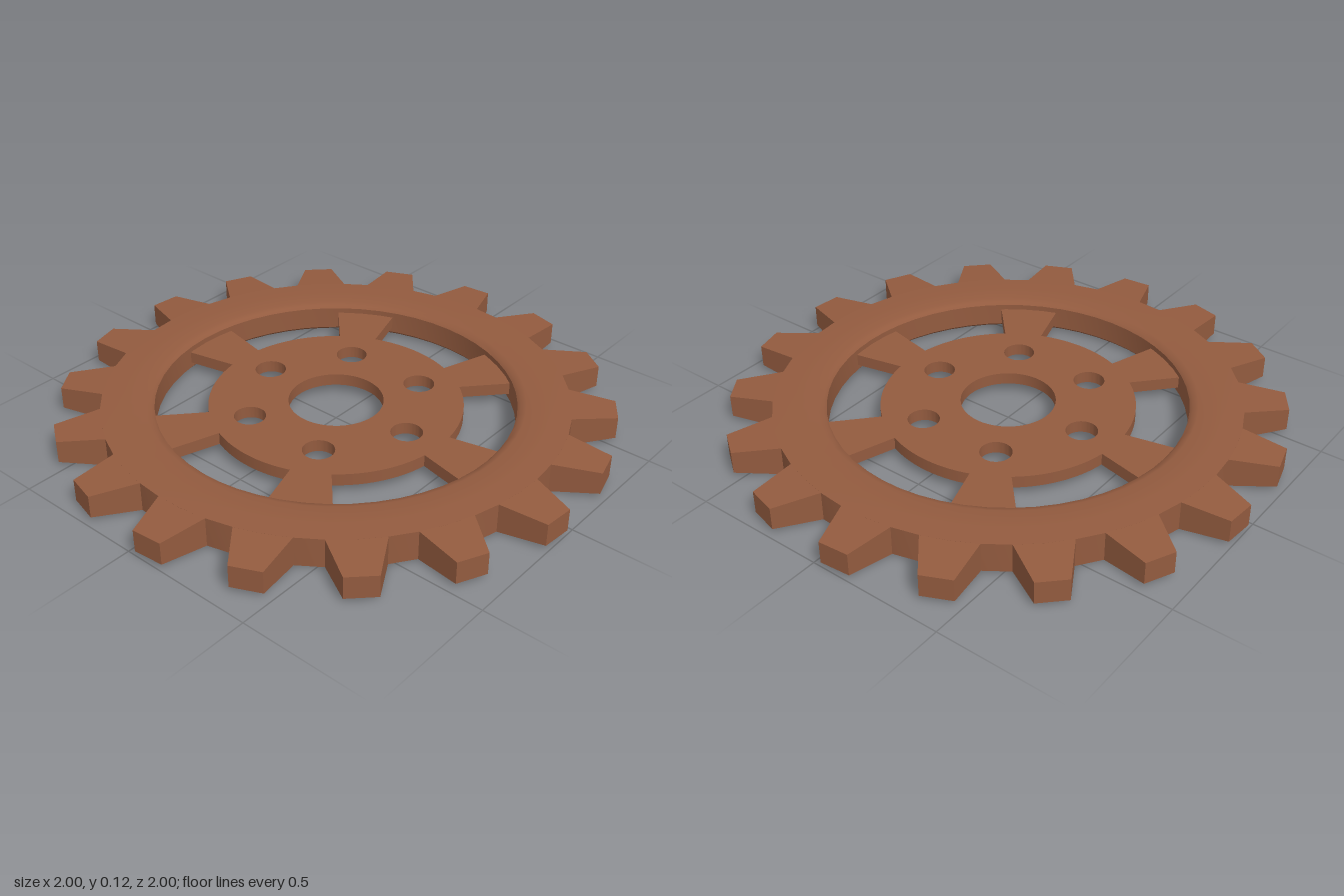
import * as THREE from 'three';
import { toCreasedNormals } from 'three/addons/utils/BufferGeometryUtils.js';

const TEETH = 18;
const SPOKES = 6;
const rad = THREE.MathUtils.degToRad;

// Closed cross-section revolved into the rim; three segments per tooth pitch
function rimGeometry() {
  const profile = [
    [0.84, 0.003], [0.84, 0.112], [0.76, 0.115], [0.68, 0.115], [0.66, 0.11],
    [0.65, 0.1], [0.65, 0.015], [0.66, 0.005], [0.68, 0], [0.76, 0], [0.84, 0.003],
  ].map(([r, y]) => new THREE.Vector2(r, y));
  return toCreasedNormals(new THREE.LatheGeometry(profile, TEETH * 3), rad(35));
}

// Block tapered in width and height, pointing along +z
function toothGeometry() {
  const g = new THREE.BoxGeometry(1, 1, 1);
  const p = g.attributes.position;
  for (let i = 0; i < p.count; i++) {
    const tip = p.getZ(i) > 0;
    const top = p.getY(i) > 0;
    const side = Math.sign(p.getX(i));
    const r = tip ? 1.0 : 0.84;
    const a = side * rad(tip ? 3.2 : 20 / 3);
    const y = tip ? (top ? 0.1 : 0.017) : (top ? 0.112 : 0.003);
    p.setXYZ(i, r * Math.sin(a), y, r * Math.cos(a));
  }
  g.computeVertexNormals();
  return g;
}

// Flat web with a bore, bolt holes and windows that leave tapered spokes
function webGeometry() {
  const shape = new THREE.Shape();
  shape.absarc(0, 0, 0.66, 0, Math.PI * 2, false);
  const circle = (x, y, r) => {
    const h = new THREE.Path();
    h.absarc(x, y, r, 0, Math.PI * 2, true);
    shape.holes.push(h);
  };
  circle(0, 0, 0.172);
  for (let i = 0; i < SPOKES; i++) {
    const a = (i * Math.PI * 2) / SPOKES;
    circle(0.323 * Math.cos(a), 0.323 * Math.sin(a), 0.057);
    const next = a + (Math.PI * 2) / SPOKES;
    const inner = rad(8.8), outer = rad(9.8);
    const win = new THREE.Path();
    win.absarc(0, 0, 0.65, a + outer, next - outer, false);
    win.absarc(0, 0, 0.46, next - inner, a + inner, true);
    win.closePath();
    shape.holes.push(win);
  }
  const g = new THREE.ExtrudeGeometry(shape, { depth: 0.045, bevelEnabled: false, curveSegments: 28 });
  g.rotateX(-Math.PI / 2);
  g.translate(0, 0.035, 0);
  return toCreasedNormals(g, rad(35));
}

export function createModel() {
  const brown = new THREE.MeshStandardMaterial({ color: 0x935b3f });
  brown.name = 'rustBrown';

  const model = new THREE.Group();
  model.name = 'sprocket';
  const add = (parent, name, geometry) => {
    const mesh = new THREE.Mesh(geometry, brown);
    mesh.name = name;
    parent.add(mesh);
    return mesh;
  };

  add(model, 'spokedWeb', webGeometry());

  // Rim and teeth share a quarter-pitch turn relative to the spokes
  const toothedRing = new THREE.Group();
  toothedRing.name = 'toothedRing';
  toothedRing.rotation.y = rad(5);
  model.add(toothedRing);

  // Turn the rim so its facet corners meet the tooth bases
  add(toothedRing, 'rim', rimGeometry());
  const tooth = toothGeometry();
  for (let i = 0; i < TEETH; i++) {
    add(toothedRing, 'tooth', tooth).rotation.y = (i * Math.PI * 2) / TEETH;
  }
  return model;
}
